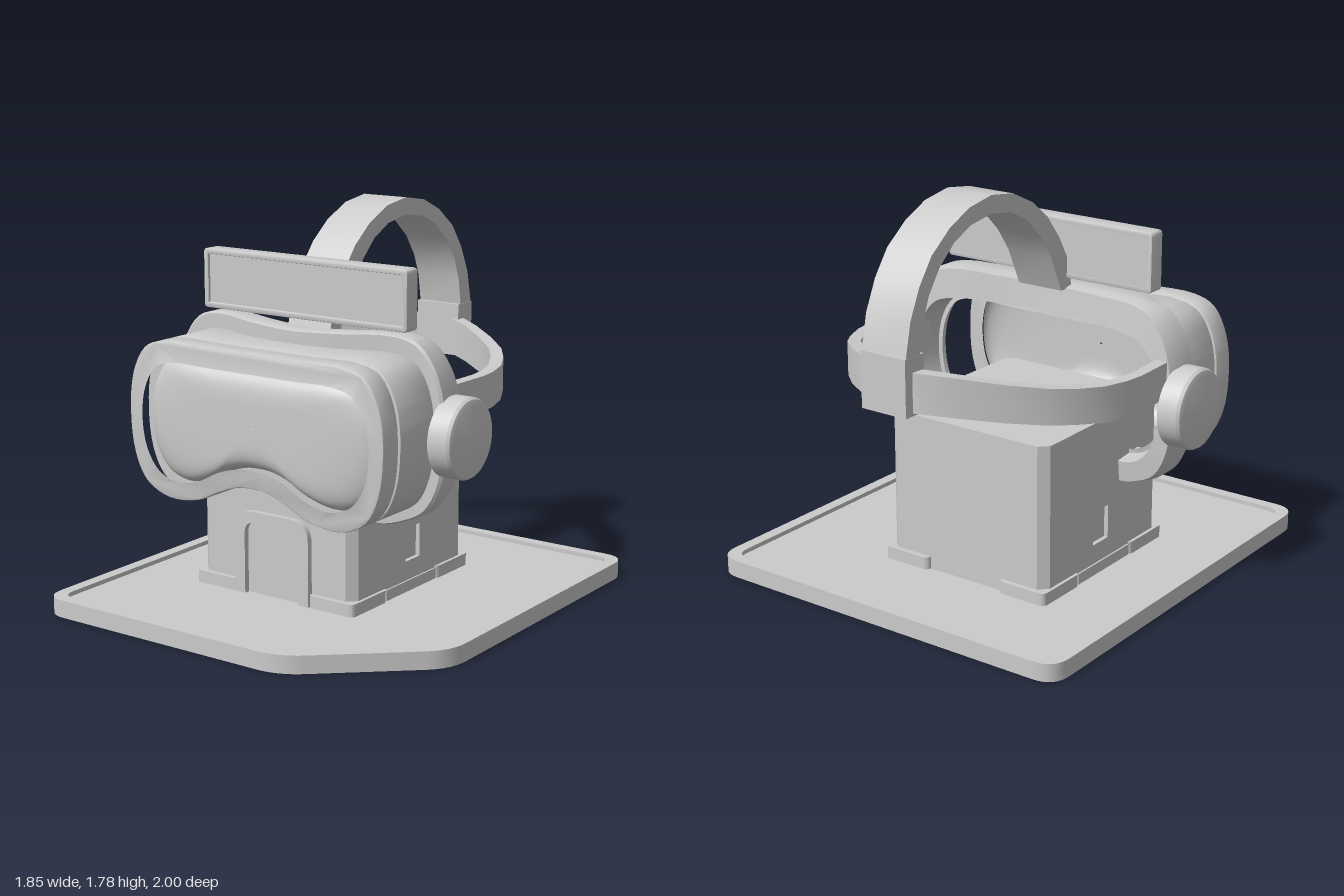
import * as THREE from 'three';
import { toCreasedNormals } from 'three/addons/utils/BufferGeometryUtils.js';

const CX = -0.097; // centre line of the goggles
const BX = -0.107; // centre line of the stand box
const grey = new THREE.MeshStandardMaterial({ color: 0xcccccc });
const greyDouble = new THREE.MeshStandardMaterial({ color: 0xcccccc, side: THREE.DoubleSide });

// Half outlines (offset from the centre line, height), top centre to nose notch
const RING = [[0, 1.2], [0.25, 1.2], [0.5, 1.2], [0.6, 1.16], [0.667, 1.04], [0.688, 0.86], [0.665, 0.67],
  [0.6, 0.55], [0.47, 0.49], [0.3, 0.505], [0.18, 0.56], [0.08, 0.596], [0, 0.602]];
const LENS = [[0, 1.12], [0.22, 1.12], [0.43, 1.12], [0.535, 1.09], [0.602, 0.99], [0.625, 0.85], [0.6, 0.7],
  [0.53, 0.6], [0.42, 0.56], [0.3, 0.58], [0.18, 0.64], [0.08, 0.67], [0, 0.676]];
const FLANGE = [[0, 1.262], [0.25, 1.27], [0.5, 1.277], [0.61, 1.24], [0.7, 1.11], [0.742, 0.86], [0.718, 0.65],
  [0.65, 0.52], [0.55, 0.462], [0.42, 0.432], [0.27, 0.48], [0.13, 0.575], [0, 0.61]];

// Mirrors a half outline and smooths it into a closed loop, scaled about the middle
function outline(half, s = 1) {
  const all = [...half, ...half.slice(1, -1).reverse().map(([x, y]) => [-x, y])];
  const curve = new THREE.CatmullRomCurve3(all.map(([x, y]) => new THREE.Vector3(x, y, 0)), true);
  return curve.getPoints(96).slice(0, 96).map(p => new THREE.Vector2(CX + p.x * s, 0.87 + (p.y - 0.87) * s));
}

// Polygon with its corners rounded by r
function roundedPoly(pts, r) {
  const shape = new THREE.Shape();
  const v = pts.map(p => new THREE.Vector2(...p));
  v.forEach((p, i) => {
    const a = v[(i + v.length - 1) % v.length], b = v[(i + 1) % v.length];
    const p0 = p.clone().add(a.clone().sub(p).setLength(r));
    const p1 = p.clone().add(b.clone().sub(p).setLength(r));
    if (i) shape.lineTo(p0.x, p0.y); else shape.moveTo(p0.x, p0.y);
    shape.quadraticCurveTo(p.x, p.y, p1.x, p1.y);
  });
  shape.closePath();
  return shape;
}
const rect = (x0, y0, x1, y1) => [[x0, y0], [x1, y0], [x1, y1], [x0, y1]];
const polygon = pts => new THREE.Shape(pts.map(p => new THREE.Vector2(...p)));

// Extrusion from z0 to z1, with an optional small bevel inside that range
function extrude(shape, z0, z1, bevel = 0) {
  const g = new THREE.ExtrudeGeometry(shape, {
    depth: z1 - z0 - 2 * bevel, bevelEnabled: bevel > 0, bevelThickness: bevel,
    bevelSize: bevel, bevelOffset: -bevel, bevelSegments: 2, curveSegments: 8,
  });
  g.translate(0, 0, z0 + bevel);
  return toCreasedNormals(g, 0.6);
}
// Plan shape (x, z) raised from y0 to y1
const slab = (shape, y0, y1) => extrude(shape, -y1, -y0).rotateX(Math.PI / 2);
// Side profile (z, y) spanning x0 to x1
const sideways = (shape, x0, x1) => extrude(shape, -x1, -x0).rotateY(-Math.PI / 2);

// Skin over a list of closed rings
function loft(rings, wrap = false) {
  const n = rings[0].length, m = rings.length, index = [];
  for (let i = 0; i < (wrap ? m : m - 1); i++) for (let j = 0; j < n; j++) {
    const k = (i + 1) % m, l = (j + 1) % n;
    const a = i * n + j, b = i * n + l, c = k * n + l, d = k * n + j;
    index.push(a, b, c, a, c, d);
  }
  const g = new THREE.BufferGeometry().setFromPoints(rings.flat());
  g.setIndex(index);
  g.computeVertexNormals();
  return g;
}

export function createModel() {
  const model = new THREE.Group();
  const add = (name, geometry, parent = model, material = grey) => {
    const mesh = new THREE.Mesh(geometry, material);
    mesh.name = name;
    parent.add(mesh);
    return mesh;
  };
  const group = name => {
    const g = new THREE.Group();
    g.name = name;
    model.add(g);
    return g;
  };

  // Base plate with one cut corner and a raised rim
  const base = group('base');
  const plate = [[-0.92, -1], [0.92, -1], [0.92, 0.53], [0.38, 1], [-0.92, 1]];
  const inner = [[-0.865, -0.945], [0.865, -0.945], [0.865, 0.505], [0.359, 0.945], [-0.865, 0.945]];
  add('basePlate', slab(roundedPoly(plate, 0.11), 0, 0.06), base);
  const rim = roundedPoly(plate, 0.11);
  rim.holes.push(roundedPoly(inner, 0.07));
  add('baseRim', slab(rim, 0.06, 0.08), base);

  // Stand box: chamfered core with side panels that hold a window recess
  const stand = group('stand');
  const half = [[0.382, 0.375], [0.422, 0.335], [0.402, 0.335], [0.402, -0.475], [0.422, -0.475], [0.382, -0.515]];
  const core = [...half, ...half.slice().reverse().map(([x, z]) => [-x, z])].map(([x, z]) => [BX + x, z]);
  add('standCore', slab(polygon(core), 0.06, 0.77), stand);
  for (const s of [1, -1]) {
    const panel = polygon(rect(-0.475, 0.06, 0.335, 0.77));
    panel.holes.push(polygon(rect(-0.145, 0.2, -0.03, 0.355)));
    const x = BX + s * 0.412;
    add('windowPanel', sideways(panel, x - 0.01, x + 0.01), stand);
    // Foot trim at the corners and between them
    const a = BX + s * 0.195, b = BX + s * 0.437;
    const x0 = Math.min(a, b), x1 = Math.max(a, b);
    add('frontFootTrim', slab(roundedPoly(rect(x0, 0.13, x1, 0.4), 0.03), 0.06, 0.117), stand);
    add('backFootTrim', slab(roundedPoly(rect(x0, -0.54, x1, -0.27), 0.03), 0.06, 0.117), stand);
    const strip = new THREE.BoxGeometry(0.1, 0.05, 0.4);
    add('sideFootTrim', strip, stand).position.set(BX + s * 0.38, 0.085, -0.07);
  }

  // Raised door surround
  const arch = (x0, x1, top, r) => {
    const p = new THREE.Shape();
    p.moveTo(x0, 0.06);
    p.lineTo(x1, 0.06);
    p.lineTo(x1, top - r);
    p.quadraticCurveTo(x1, top, x1 - r, top);
    p.lineTo(x0 + r, top);
    p.quadraticCurveTo(x0, top, x0, top - r);
    return p;
  };
  const door = arch(-0.315, 0.092, 0.447, 0.1);
  door.holes.push(arch(-0.26, 0.037, 0.397, 0.06));
  add('doorFrame', extrude(door, 0.37, 0.402), stand);

  // Goggle shell: two rings joined by a narrower seam
  const goggles = group('goggles');
  const shell = (name, s, z0, z1, bevel) => {
    const shape = new THREE.Shape(outline(RING, s));
    shape.holes.push(new THREE.Path(outline(LENS)));
    add(name, extrude(shape, z0, z1, bevel), goggles);
  };
  shell('frontRing', 1, 0.44, 0.556, 0.01);
  shell('seam', 0.98, 0.42, 0.445, 0);
  shell('bodyRing', 1, 0.13, 0.428, 0.008);

  // Bulging lens
  const lensRings = [];
  for (let i = 0; i <= 16; i++) {
    const t = 0.01 + 0.99 * Math.sin(i / 16 * Math.PI / 2);
    const z = 0.46 + 0.088 * Math.sqrt(Math.max(0, 1 - t ** 5));
    lensRings.push(outline(LENS, t).map(p => new THREE.Vector3(p.x, p.y, z)));
  }
  add('lens', loft(lensRings), goggles, greyDouble);

  // Face flange, bent forward around the middle
  const flangeRing = (half, s, z, bend) => outline(half, s).map(p => {
    const dx = Math.min(1, Math.abs(p.x - CX) / 0.65);
    const lean = z < 0.1 ? 0.03 * ((p.y - 0.86) / 0.42) ** 2 : 0;
    return new THREE.Vector3(p.x, p.y, z + lean + bend * (1 + Math.cos(Math.PI * dx)) / 2);
  });
  const flange = loft([
    flangeRing(FLANGE, 0.985, 0.172, 0.095), flangeRing(FLANGE, 1, 0.16, 0.095),
    flangeRing(FLANGE, 1, 0.05, 0.1), flangeRing(FLANGE, 0.975, 0.0, 0.1),
    flangeRing(LENS, 1.06, 0.0, 0.1), flangeRing(LENS, 1.01, 0.172, 0.095),
  ], true);
  add('faceFlange', toCreasedNormals(flange, 0.6), goggles);

  // Round side caps
  const capProfile = [[0, -0.03], [0.18, -0.03], [0.18, 0.062], [0.172, 0.076], [0.15, 0.083], [0, 0.086]];
  for (const s of [1, -1]) {
    const cap = toCreasedNormals(new THREE.LatheGeometry(capProfile.map(p => new THREE.Vector2(...p)), 48), 0.5);
    add(s > 0 ? 'leftCap' : 'rightCap', cap.rotateZ(-s * Math.PI / 2), goggles)
      .position.set(CX + s * 0.742, 0.85, 0.084);
  }

  // Head strap: outer edge [dx, z], inner edge [dx, z], bottom and top heights
  const straps = group('straps');
  const path = [
    [0.685, 0.06, 0.63, 0.06, 0.9, 1.06], [0.695, 0, 0.64, 0, 0.9, 1.06],
    [0.702, -0.2, 0.647, -0.2, 0.9, 1.06], [0.69, -0.3, 0.635, -0.29, 0.9, 1.06],
    [0.66, -0.42, 0.605, -0.4, 0.907, 1.064], [0.6, -0.54, 0.55, -0.51, 0.92, 1.075],
    [0.53, -0.64, 0.485, -0.605, 0.932, 1.09], [0.41, -0.75, 0.37, -0.71, 0.948, 1.11],
    [0.26, -0.855, 0.23, -0.81, 0.965, 1.135], [0.09, -0.955, 0.07, -0.9, 0.982, 1.155],
  ];
  const strapRing = ([ox, oz, ix, iz, y0, y1], s) => [[ox, y1, oz], [ox, y0, oz], [ix, y0, iz], [ix, y1, iz]]
    .map(([x, y, z]) => new THREE.Vector3(CX + s * x, y, z));
  const band = [...path.map(p => strapRing(p, 1)), ...path.slice().reverse().map(p => strapRing(p, -1))];
  add('headStrap', toCreasedNormals(loft(band), 0.6), straps, greyDouble);
  add('backBlock', new THREE.BoxGeometry(0.232, 0.25, 0.12), straps).position.set(-0.07, 1.095, -0.94);

  // Strap over the top of the head
  const over = [[0.17, 1.25], [0.13, 1.4], [0.07, 1.5], [-0.02, 1.61], [-0.13, 1.695], [-0.27, 1.76], [-0.42, 1.782],
    [-0.57, 1.758], [-0.7, 1.7], [-0.82, 1.61], [-0.9, 1.5], [-0.96, 1.37], [-0.997, 1.2]];
  const under = [[-0.905, 1.2], [-0.88, 1.35], [-0.84, 1.45], [-0.77, 1.55], [-0.67, 1.635], [-0.56, 1.683],
    [-0.42, 1.703], [-0.28, 1.68], [-0.17, 1.625], [-0.07, 1.53], [0.01, 1.42], [0.09, 1.25]];
  add('topStrap', sideways(polygon([...over, ...under]), -0.185, 0.045), straps);

  // Blank sign board with a raised border
  const sign = group('sign');
  const border = roundedPoly(rect(-0.625, 1.3, 0.475, 1.57), 0.02);
  border.holes.push(polygon(rect(-0.6, 1.325, 0.45, 1.545)));
  add('signBorder', extrude(border, 0.13, 0.215, 0.006), sign);
  add('signPanel', new THREE.BoxGeometry(1.07, 0.24, 0.07), sign).position.set(-0.075, 1.435, 0.166);

  return model;
}
